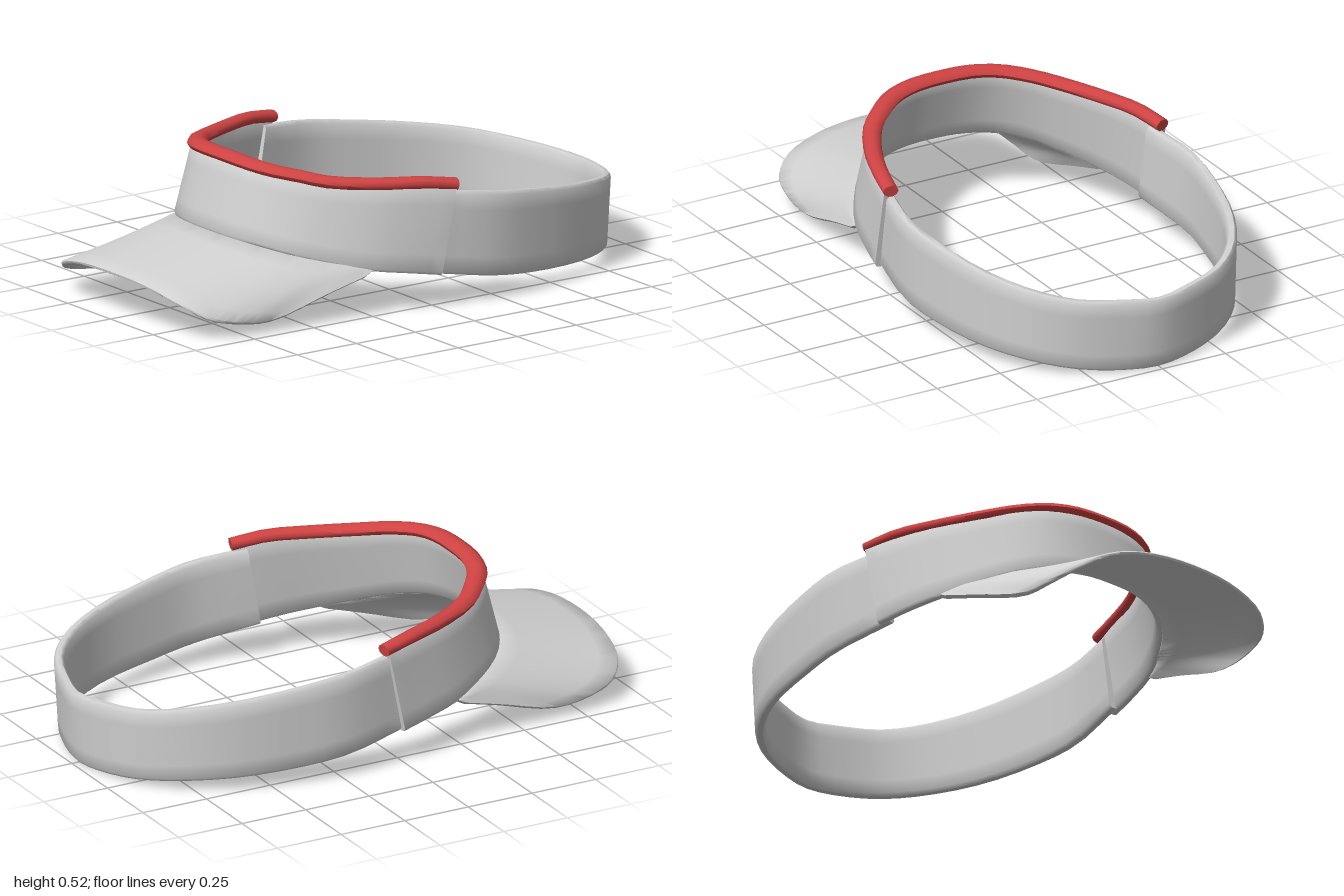
import * as THREE from 'three';
import { toCreasedNormals } from 'three/addons/utils/BufferGeometryUtils.js';

const V = (x, y, z) => new THREE.Vector3(x, y, z);

// Smooth curve through half an outline (ending at x = 0) and its mirror image
function mirroredCurve(half) {
  const pts = half.map((p) => V(...p));
  const other = half.slice(0, -1).reverse().map((p) => V(-p[0], p[1], p[2]));
  return new THREE.CatmullRomCurve3([...pts, ...other], false, 'centripetal');
}

// Skin a row of closed loops and cap both ends
function skin(sections) {
  const n = sections[0].length;
  const pos = sections.flat().flatMap((p) => [p.x, p.y, p.z]);
  const index = [];
  for (let i = 0; i < sections.length - 1; i++) {
    for (let j = 0; j < n; j++) {
      const a = i * n + j, b = i * n + (j + 1) % n, c = b + n, d = a + n;
      index.push(a, b, c, a, c, d);
    }
  }
  const last = (sections.length - 1) * n;
  for (let k = 1; k < n - 1; k++) {
    index.push(0, k + 1, k, last, last + k, last + k + 1);
  }
  const geo = new THREE.BufferGeometry();
  geo.setAttribute('position', new THREE.Float32BufferAttribute(pos, 3));
  geo.setIndex(index);
  return toCreasedNormals(geo, 0.9);
}

// Thick sheet between a lower and an upper outline, with rounded rims
function sheet(lowerHalf, upperHalf, thickness, steps = 36, rows = 5) {
  const lower = mirroredCurve(lowerHalf), upper = mirroredCurve(upperHalf);
  const sections = [];
  for (let i = 0; i <= steps; i++) {
    const t = i / steps;
    const lo = lower.getPoint(t), hi = upper.getPoint(t);
    const up = hi.clone().sub(lo);
    const height = up.length();
    up.normalize();
    const along = lower.getTangent(t).add(upper.getTangent(t));
    const inward = along.cross(up).normalize();
    const rim = Math.min(thickness * 0.4, height * 0.2);
    const at = (h, d) => lo.clone().addScaledVector(up, h).addScaledVector(inward, d * thickness);
    const loop = [];
    for (let r = 0; r <= rows; r++) loop.push(at(rim + (height - 2 * rim) * r / rows, 0));
    loop.push(at(height - rim * 0.2, 0.25), at(height - rim * 0.2, 0.75));
    for (let r = rows; r >= 0; r--) loop.push(at(rim + (height - 2 * rim) * r / rows, 1));
    loop.push(at(rim * 0.2, 0.75), at(rim * 0.2, 0.25));
    sections.push(loop);
  }
  return skin(sections);
}

// Oval bead following an outline
function bead(half, rx, ry, steps = 32, sides = 10) {
  const curve = mirroredCurve(half);
  const sections = [];
  for (let i = 0; i <= steps; i++) {
    const c = curve.getPoint(i / steps), t = curve.getTangent(i / steps);
    const inward = t.clone().cross(V(0, 1, 0)).normalize();
    const up = inward.clone().cross(t).normalize();
    const w = rx * (0.75 + 0.25 * Math.sin(Math.PI * i / steps));
    sections.push(Array.from({ length: sides }, (_, j) => {
      const a = j / sides * Math.PI * 2;
      return c.clone().addScaledVector(inward, -Math.cos(a) * w).addScaledVector(up, Math.sin(a) * ry);
    }));
  }
  return skin(sections);
}

export function createModel() {
  const fabric = new THREE.MeshStandardMaterial({ color: 0xd0d0d0 });
  fabric.name = 'light grey fabric';
  const red = new THREE.MeshStandardMaterial({ color: 0xd04343 });
  red.name = 'red piping';

  const group = new THREE.Group();
  group.name = 'sunVisor';
  const add = (name, geometry, material) => {
    const mesh = new THREE.Mesh(geometry, material);
    mesh.name = name;
    group.add(mesh);
  };

  // Front band, leaning back slightly towards the top
  const bandBottom = [
    [0.56, 0.12, 0], [0.535, 0.14, 0.12], [0.495, 0.16, 0.25], [0.43, 0.188, 0.37],
    [0.34, 0.22, 0.485], [0.23, 0.242, 0.555], [0.12, 0.25, 0.588], [0, 0.252, 0.595],
  ];
  const bandTop = [
    [0.56, 0.43, -0.065], [0.525, 0.445, 0.05], [0.475, 0.452, 0.19], [0.39, 0.462, 0.34],
    [0.315, 0.48, 0.425], [0.225, 0.495, 0.49], [0.12, 0.505, 0.52], [0, 0.508, 0.528],
  ];
  add('frontBand', sheet(bandBottom, bandTop, 0.03), fabric);

  // Strap round the back of the head
  const strapBottom = [
    [-0.535, 0.125, 0.03], [-0.575, 0.085, -0.22], [-0.555, 0.065, -0.4], [-0.5, 0.05, -0.62],
    [-0.405, 0.037, -0.79], [-0.285, 0.02, -0.895], [-0.14, 0.006, -0.955], [0, 0, -0.98],
  ];
  const strapTop = [
    [-0.54, 0.415, -0.02], [-0.578, 0.392, -0.22], [-0.56, 0.367, -0.4], [-0.505, 0.337, -0.62],
    [-0.41, 0.31, -0.8], [-0.29, 0.287, -0.91], [-0.14, 0.275, -0.97], [0, 0.266, -1],
  ];
  add('backStrap', sheet(strapBottom, strapTop, 0.035), fabric);

  // Brim, arched across and drooping at the sides
  const brimEdge = [
    [0.497, 0.148, 0.28], [0.48, 0.105, 0.43], [0.463, 0.045, 0.65], [0.455, 0.055, 0.78],
    [0.425, 0.082, 0.89], [0.35, 0.125, 0.955], [0.2, 0.163, 0.988], [0, 0.175, 1],
  ];
  const brimRoot = [
    [0.495, 0.168, 0.24], [0.475, 0.18, 0.29], [0.455, 0.19, 0.325], [0.42, 0.2, 0.375],
    [0.34, 0.225, 0.475], [0.23, 0.246, 0.545], [0.12, 0.255, 0.577], [0, 0.257, 0.585],
  ];
  add('brim', sheet(brimEdge, brimRoot, 0.016, 48, 6), fabric);

  // Piping along the top of the front band
  const piping = [
    [0.54, 0.432, -0.075], [0.51, 0.45, 0.05], [0.455, 0.455, 0.19], [0.37, 0.466, 0.34],
    [0.3, 0.482, 0.41], [0.215, 0.495, 0.473], [0.12, 0.504, 0.502], [0, 0.507, 0.508],
  ];
  add('topPiping', bead(piping, 0.037, 0.022), red);

  return group;
}
